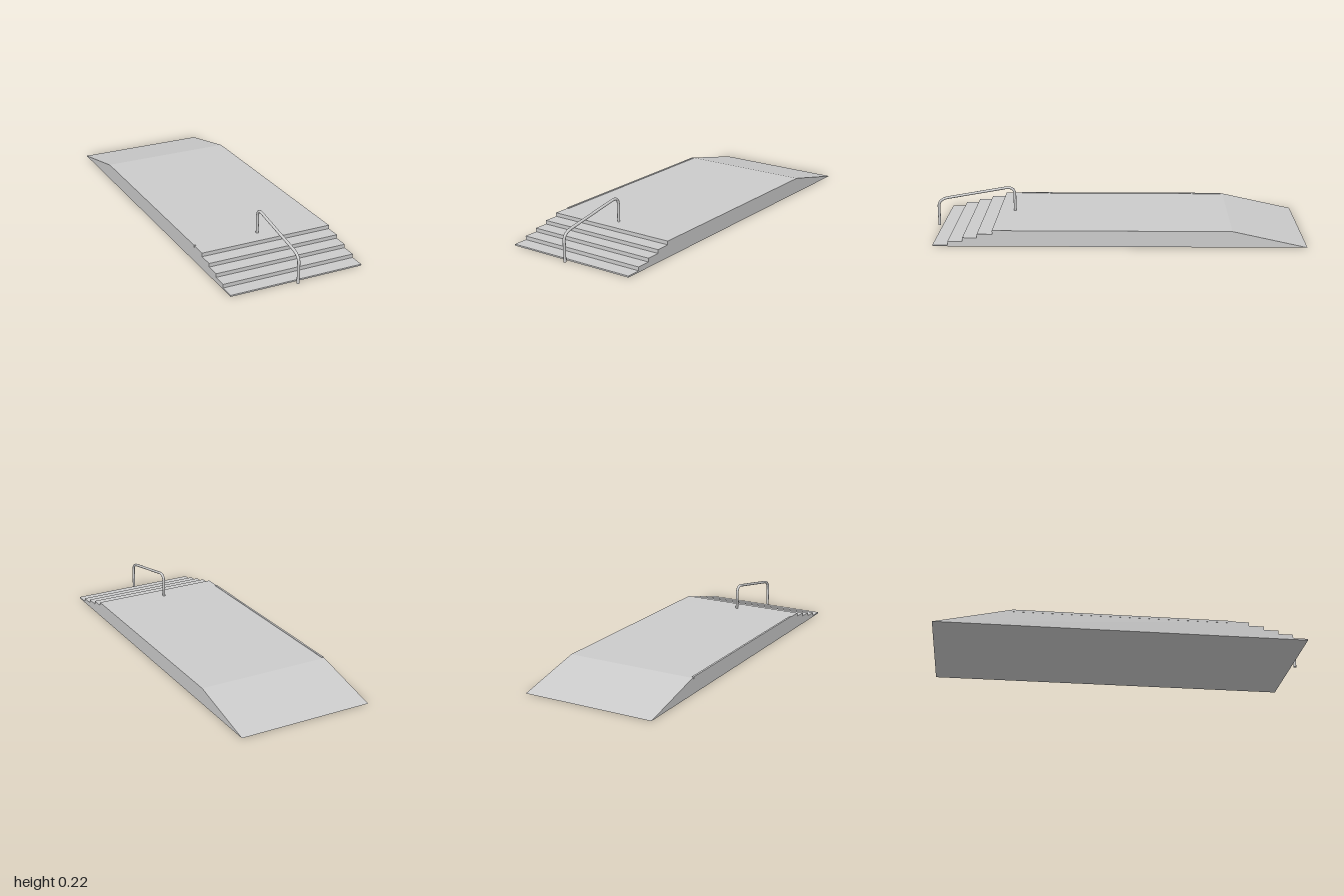
import * as THREE from 'three';

const material = new THREE.MeshStandardMaterial({ color: 0xcccccc });

function addMesh(parent, name, geometry, x = 0, y = 0, z = 0) {
  const mesh = new THREE.Mesh(geometry, material);
  mesh.name = name;
  mesh.position.set(x, y, z);
  parent.add(mesh);
  return mesh;
}

// Side profile (z, y): ramp at the back, flat deck, steps at the front
function platformGeometry(width, deckY) {
  const stepEdges = [0.655, 0.735, 0.812, 0.89, 0.97];
  const rise = 0.0198;
  const shape = new THREE.Shape();
  shape.moveTo(-1, 0);
  shape.lineTo(stepEdges.at(-1), 0);
  for (let i = stepEdges.length - 1; i >= 0; i--) {
    const y = deckY - i * rise;
    shape.lineTo(stepEdges[i], y);
    if (i > 0) shape.lineTo(stepEdges[i - 1], y);
  }
  shape.lineTo(-0.605, deckY);
  const geometry = new THREE.ExtrudeGeometry(shape, { depth: width, bevelEnabled: false });
  geometry.rotateY(-Math.PI / 2);
  geometry.translate(width / 2, 0, 0);
  return geometry;
}

// Bent handrail path in the z-y plane with rounded corners
function handrailPath(frontZ, backZ, deckY) {
  const p = (z, y) => new THREE.Vector3(0, y, z);
  const path = new THREE.CurvePath();
  path.add(new THREE.LineCurve3(p(frontZ, 0), p(frontZ, 0.11)));
  path.add(new THREE.QuadraticBezierCurve3(p(frontZ, 0.11), p(frontZ, 0.149), p(0.935, 0.159)));
  path.add(new THREE.LineCurve3(p(0.935, 0.159), p(0.62, 0.215)));
  path.add(new THREE.QuadraticBezierCurve3(p(0.62, 0.215), p(backZ, 0.224), p(backZ, 0.175)));
  path.add(new THREE.LineCurve3(p(backZ, 0.175), p(backZ, deckY)));
  return path;
}

export function createModel() {
  const group = new THREE.Group();
  group.name = 'steppedPlatform';
  const width = 0.73, deckY = 0.087;

  addMesh(group, 'platform', platformGeometry(width, deckY));

  // Thin edge trim along the right side of the deck
  addMesh(group, 'edgeTrim', new THREE.BoxGeometry(0.011, 0.012, 1.16), -0.3605, 0.084, -0.015);

  // Central handrail, with a disc closing the foot at the ground
  const radius = 0.0075, frontZ = 0.9925, railX = -0.011;
  const rail = new THREE.Group();
  rail.name = 'handrail';
  rail.position.x = railX;
  addMesh(rail, 'railTube', new THREE.TubeGeometry(handrailPath(frontZ, 0.569, deckY), 96, radius, 16));
  addMesh(rail, 'railFoot', new THREE.CircleGeometry(radius, 16).rotateX(Math.PI / 2), 0, 0, frontZ);
  group.add(rail);

  return group;
}
